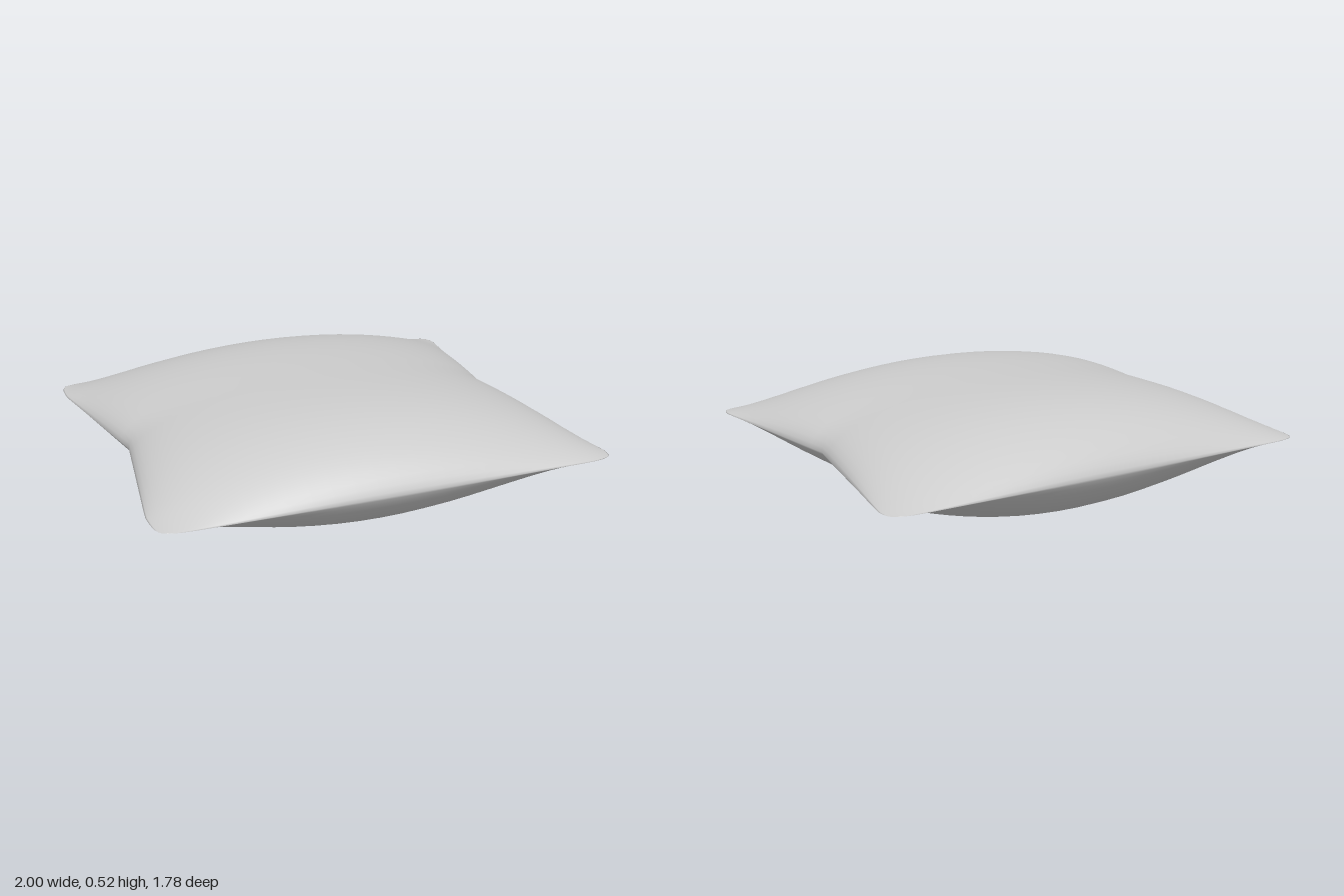
import * as THREE from 'three';
import { mergeGeometries, mergeVertices } from 'three/addons/utils/BufferGeometryUtils.js';

const SEGMENTS = 32;
const SEAM_Y = 0.285;

// One half of the cushion: a square grid puffed up (side = 1) or down (side = -1) from the seam.
// Larger acrossPower / alongPower give a slacker, less rounded profile over x / z.
function cushionHalf({ side, depth, acrossPower, alongPower }) {
  const geometry = new THREE.PlaneGeometry(2, 2, SEGMENTS, SEGMENTS);
  geometry.rotateX(-side * Math.PI / 2);
  geometry.deleteAttribute('uv');
  geometry.deleteAttribute('normal');
  const pos = geometry.attributes.position;

  for (let i = 0; i < pos.count; i++) {
    // Rows crowd towards the rim, where the surface turns steepest
    const u = Math.sin(pos.getX(i) * Math.PI / 2);
    const v = Math.sin(pos.getZ(i) * Math.PI / 2);
    const au = Math.abs(u), av = Math.abs(v);

    // Outline: pinched left and right sides, nearly straight front and back, rounded corners
    const pinch = u < 0 ? 0.885 : 0.87;
    const halfWidth = Math.min(1, pinch + 0.14 * av) * (1 - 0.025 * av ** 30);
    const halfDepth = (v > 0 ? 0.878 + 0.014 * u : 0.89) * (1 - 0.03 * au ** 24);

    // Filling: full in the middle, thinning out towards the corners
    const across = Math.max(0, 1 - au * au) ** (acrossPower + 0.3 * av * av);
    const along = Math.max(0, 1 - av ** 3.6) ** (alongPower + 0.25 * au * au);
    pos.setXYZ(i, u * halfWidth, SEAM_Y + side * depth * across * along, v * halfDepth);
  }
  return geometry;
}

export function createModel() {
  const group = new THREE.Group();
  group.name = 'pillow';

  // Top and bottom halves are welded along the seam so the rim shades smoothly
  const top = cushionHalf({ side: 1, depth: 0.24, acrossPower: 0.52, alongPower: 0.65 });
  const bottom = cushionHalf({ side: -1, depth: SEAM_Y, acrossPower: 0.72, alongPower: 0.8 });
  const geometry = mergeVertices(mergeGeometries([top, bottom]), 1e-4);
  geometry.computeVertexNormals();

  const cushion = new THREE.Mesh(geometry, new THREE.MeshStandardMaterial({ color: 0xcccccc }));
  cushion.name = 'cushion';
  group.add(cushion);
  return group;
}
